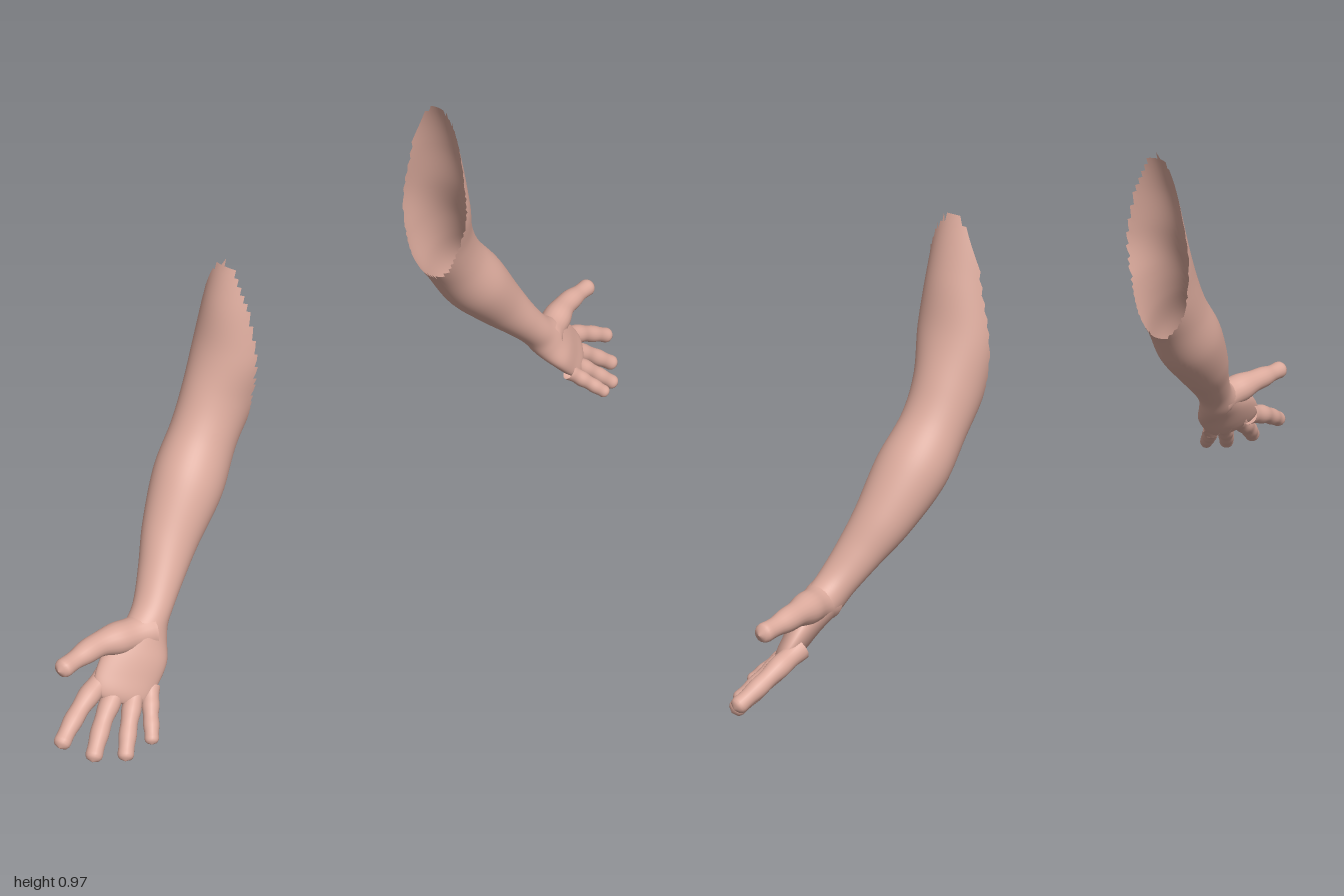
import * as THREE from 'three';

const skin = new THREE.MeshStandardMaterial({ color: 0xdcab9d, side: THREE.DoubleSide });
skin.name = 'skin';
const V = (x, y, z) => new THREE.Vector3(x, y, z);
const CUT = 0.36; // the upper arm is open on this plane

// Skins a row of elliptical rings { c, u, v }; optionally drops what lies inside the cut.
function loft(rings, sides, mirror, cut) {
  const pos = [], index = [];
  for (const { c, u, v } of rings) {
    for (let j = 0; j < sides; j++) {
      const a = (j / sides) * Math.PI * 2;
      const p = c.clone().addScaledVector(u, Math.cos(a)).addScaledVector(v, Math.sin(a));
      pos.push(p.x, p.y, p.z);
    }
  }
  const tri = (a, b, c) => {
    if (cut && (pos[a * 3] + pos[b * 3] + pos[c * 3]) / 3 < CUT) return;
    mirror ? index.push(a, c, b) : index.push(a, b, c);
  };
  for (let i = 0; i < rings.length - 1; i++) {
    for (let j = 0; j < sides; j++) {
      const k = (j + 1) % sides;
      const a = i * sides + j, b = i * sides + k;
      tri(a, b, a + sides);
      tri(b, b + sides, a + sides);
    }
  }
  for (let i = 0; i < pos.length; i += 3) {
    if (cut) pos[i] = Math.max(pos[i], CUT - 0.003);
    if (mirror) pos[i] *= -1;
  }
  const g = new THREE.BufferGeometry();
  g.setAttribute('position', new THREE.Float32BufferAttribute(pos, 3));
  g.setIndex(index);
  g.computeVertexNormals();
  return g;
}

// Upper arm to wrist: x, y, z, half width, half depth, extra inward shift of the right arm
const armStations = [
  [0.21, 1.07, -0.045, 0.088, 0.075, 0.035],
  [0.28, 0.93, -0.045, 0.09, 0.08, 0.035],
  [0.322, 0.82, -0.046, 0.085, 0.083, 0.026],
  [0.355, 0.71, -0.05, 0.078, 0.09, 0.024],
  [0.395, 0.61, -0.058, 0.078, 0.077, 0.02],
  [0.445, 0.53, -0.056, 0.072, 0.072, 0.014],
  [0.51, 0.445, -0.046, 0.076, 0.078, 0.012],
  [0.585, 0.355, -0.03, 0.061, 0.064, 0.008],
  [0.64, 0.29, -0.008, 0.047, 0.052, 0.003],
  [0.685, 0.24, 0.01, 0.041, 0.044, 0],
];
// Palm: x, y, z, half width, half thickness, turn from wrist frame to palm frame
const palmStations = [
  [0.722, 0.204, 0.021, 0.053, 0.04, 0.6],
  [0.76, 0.17, 0.03, 0.07, 0.034, 1],
  [0.797, 0.133, 0.035, 0.071, 0.027, 1],
  [0.822, 0.108, 0.04, 0.062, 0.021, 1],
  [0.835, 0.096, 0.043, 0.04, 0.011, 1],
  [0.838, 0.093, 0.044, 0.001, 0.001, 1],
];
const palmAcross = V(0.69, 0.43, -0.58).normalize();
const palmOut = V(0.32, 0.54, 0.78).normalize();

function armRings(mirror) {
  const c = [], u = [], v = [];
  const all = armStations;
  all.forEach(([x, y, z, w, d, shift], i) => {
    const p = all[Math.max(i - 1, 0)], q = all[Math.min(i + 1, all.length - 1)];
    const n = V(p[1] - q[1], q[0] - p[0], 0).normalize();
    const s = mirror ? shift : 0;
    c.push(V(x - s, y - s * 0.4, z));
    u.push(n.multiplyScalar(w + s * 0.5));
    v.push(V(0, 0, d));
  });
  for (const [x, y, z, w, d, turn] of palmStations) {
    c.push(V(x, y, z));
    u.push(V(0.74, 0.67, 0).lerp(palmAcross, turn).setLength(w));
    v.push(V(0, 0, 1).lerp(palmOut, turn).setLength(d));
  }
  const [cc, cu, cv] = [c, u, v].map((pts) => new THREE.CatmullRomCurve3(pts, false, 'catmullrom', 0.5));
  const rings = [], N = 110;
  for (let i = 0; i <= N; i++) {
    rings.push({ c: cc.getPoint(i / N), u: cu.getPoint(i / N), v: cv.getPoint(i / N) });
  }
  return rings;
}

// Tapered finger with soft joints and a rounded tip
function fingerRings(points, r0, r1) {
  const curve = new THREE.CatmullRomCurve3(points.map((p) => V(...p)));
  const N = 36, frames = curve.computeFrenetFrames(N, false);
  const tip = 1 - r1 / curve.getLength();
  const rings = [];
  for (let i = 0; i <= N; i++) {
    const t = i / N;
    let r = THREE.MathUtils.lerp(r0, r1, Math.min(t * 1.3, 1));
    r *= 1 + 0.05 * Math.cos(t * Math.PI * 6);
    if (t > tip) r *= Math.sqrt(Math.max(0, 1 - ((t - tip) / (1 - tip)) ** 2));
    rings.push({
      c: curve.getPointAt(t),
      u: frames.normals[i].clone().multiplyScalar(r),
      v: frames.binormals[i].clone().multiplyScalar(r),
    });
  }
  return rings;
}

const fingers = {
  thumb: [[[0.715, 0.207, 0.022], [0.765, 0.214, 0.01], [0.83, 0.224, -0.006], [0.89, 0.224, -0.011], [0.952, 0.223, -0.012]], 0.042, 0.021],
  indexFinger: [[[0.82, 0.14, 0.0], [0.885, 0.118, 0.002], [0.945, 0.09, 0.01], [0.997, 0.063, 0.022]], 0.025, 0.019],
  middleFinger: [[[0.805, 0.125, 0.024], [0.87, 0.083, 0.038], [0.915, 0.05, 0.055], [0.952, 0.022, 0.072]], 0.024, 0.019],
  ringFinger: [[[0.785, 0.11, 0.048], [0.84, 0.063, 0.077], [0.872, 0.033, 0.097], [0.897, 0.01, 0.114]], 0.022, 0.018],
  littleFinger: [[[0.76, 0.1, 0.066], [0.794, 0.065, 0.096], [0.816, 0.042, 0.117], [0.834, 0.024, 0.133]], 0.02, 0.016],
};

export function createModel() {
  const model = new THREE.Group();
  model.name = 'pairOfArms';
  for (const mirror of [false, true]) {
    const side = new THREE.Group();
    side.name = mirror ? 'rightArm' : 'leftArm';
    const add = (name, geometry) => {
      const mesh = new THREE.Mesh(geometry, skin);
      mesh.name = name;
      side.add(mesh);
    };
    add('armAndPalm', loft(armRings(mirror), 56, mirror, true));
    for (const [name, [points, r0, r1]] of Object.entries(fingers)) {
      add(name, loft(fingerRings(points, r0, r1), 20, mirror, false));
    }
    model.add(side);
  }
  return model;
}
